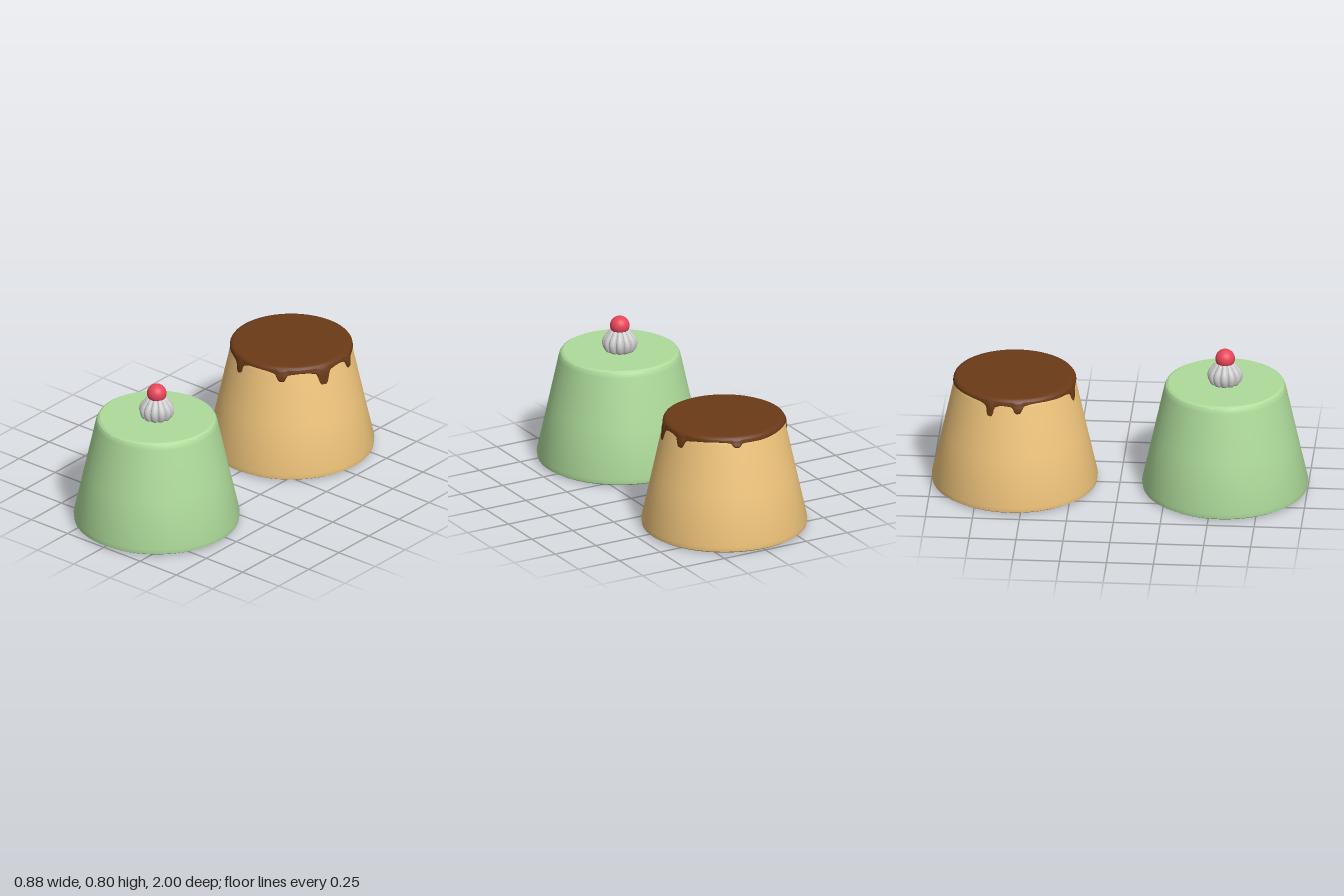
import * as THREE from 'three';
import { toCreasedNormals } from 'three/addons/utils/BufferGeometryUtils.js';

const material = (color) => new THREE.MeshStandardMaterial({ color });

function part(name, geometry, color, parent) {
  const mesh = new THREE.Mesh(geometry, material(color));
  mesh.name = name;
  parent.add(mesh);
  return mesh;
}

// radius of the tapered pudding wall at height y
const wallRadius = (y) => 0.44 - (y - 0.04) * (0.115 / 0.535);

// tapered body with a small bevel below and a soft shoulder above
function puddingBody() {
  const profile = [
    [0, 0.003], [0.42, 0.003], [0.438, 0.014], [0.441, 0.04], [wallRadius(0.3), 0.3],
    [0.325, 0.575], [0.321, 0.59], [0.314, 0.602], [0.305, 0.607], [0.302, 0.609], [0, 0.609],
  ].map(([r, y]) => new THREE.Vector2(r, y));
  return toCreasedNormals(new THREE.LatheGeometry(profile, 72), 0.5);
}

// drips: angle from +z towards +x, height of the tip, half width in radians
const drips = [
  [1.24, 0.475, 0.095], [0.53, 0.54, 0.08], [1.845, 0.53, 0.08], [2.83, 0.56, 0.075],
  [-1.45, 0.54, 0.075], [-1.91, 0.4, 0.05], [-0.29, 0.17, 0.06],
];
const RIM = 0.588;

function sauceEdge(a) {
  let y = RIM + 0.004 * Math.sin(a * 5 + 1);
  let swell = 0;
  for (const [centre, tip, w] of drips) {
    const d = Math.atan2(Math.sin(a - centre), Math.cos(a - centre));
    const core = Math.exp(-((d / w) ** 4));
    const depth = RIM - tip;
    const fillet = Math.min(depth, 0.1) * 0.25;
    y -= (depth - fillet) * core + fillet * Math.exp(-((d / (2.2 * w)) ** 2));
    swell = Math.max(swell, core);
  }
  return { y, swell };
}

// sauce cap: flat disc, rounded rim, then a skin running down to the drip outline
function sauceGeometry() {
  const columns = 480;
  const wallRows = 14;
  const top = [[0, 0.62], [0.15, 0.62], [0.29, 0.62], [0.309, 0.618], [0.319, 0.613], [0.325, 0.604]];
  const rows = top.length + wallRows + 1;
  const positions = [];
  const indices = [];
  for (let i = 0; i < columns; i++) {
    const a = (i / columns) * Math.PI * 2;
    const { y: low, swell } = sauceEdge(a);
    const add = (r, y) => positions.push(r * Math.sin(a), y, r * Math.cos(a));
    top.forEach(([r, y]) => add(r, y));
    for (let k = 1; k <= wallRows; k++) {
      const s = k / wallRows;
      const y = 0.604 + (low - 0.604) * s;
      const bulge = 0.006 + swell * (0.004 + 0.008 * s * s);
      const wall = Math.min(wallRadius(y), 0.3255);
      add(wall + bulge * Math.sqrt(1 - s ** 8 * 0.9), y);
    }
    add(wallRadius(low) - 0.012, low - 0.002);
  }
  for (let i = 0; i < columns; i++) {
    const next = (i + 1) % columns;
    for (let j = 0; j < rows - 1; j++) {
      const a = i * rows + j;
      const b = next * rows + j;
      indices.push(a, a + 1, b + 1);
      if (j > 0) indices.push(a, b + 1, b);
    }
  }
  const geometry = new THREE.BufferGeometry();
  geometry.setAttribute('position', new THREE.Float32BufferAttribute(positions, 3));
  geometry.setIndex(indices);
  geometry.computeVertexNormals();
  return geometry;
}

// piped cream: a rounded lathe whose wall is pressed into twelve lobes
function creamGeometry() {
  const curve = new THREE.SplineCurve([
    [0.062, 0.606], [0.083, 0.617], [0.094, 0.65], [0.088, 0.68],
    [0.07, 0.705], [0.05, 0.726], [0.025, 0.735], [0, 0.737],
  ].map(([r, y]) => new THREE.Vector2(r, y)));
  const points = curve.getPoints(28);
  points[points.length - 1].x = 0;
  const geometry = new THREE.LatheGeometry(points, 144);
  const p = geometry.attributes.position;
  for (let i = 0; i < p.count; i++) {
    const a = Math.atan2(p.getX(i), p.getZ(i));
    const lobe = 0.8 + 0.2 * Math.sqrt(Math.abs(Math.cos(a * 6)));
    p.setX(i, p.getX(i) * lobe);
    p.setZ(i, p.getZ(i) * lobe);
  }
  geometry.computeVertexNormals();
  return geometry;
}

export function createModel() {
  const model = new THREE.Group();
  model.name = 'puddings';

  // front pudding with cream and cherry
  const green = new THREE.Group();
  green.name = 'greenPudding';
  green.position.z = 0.56;
  part('greenBody', puddingBody(), 0xaedb9a, green);
  part('cream', creamGeometry(), 0xcccccc, green);
  part('cherry', new THREE.SphereGeometry(0.052, 40, 28), 0xe8465a, green).position.y = 0.75;

  // back pudding with dripping sauce
  const custard = new THREE.Group();
  custard.name = 'custardPudding';
  custard.position.z = -0.56;
  part('custardBody', puddingBody(), 0xf0c57c, custard);
  part('sauce', sauceGeometry(), 0x6b3a17, custard);

  model.add(green, custard);
  return model;
}
